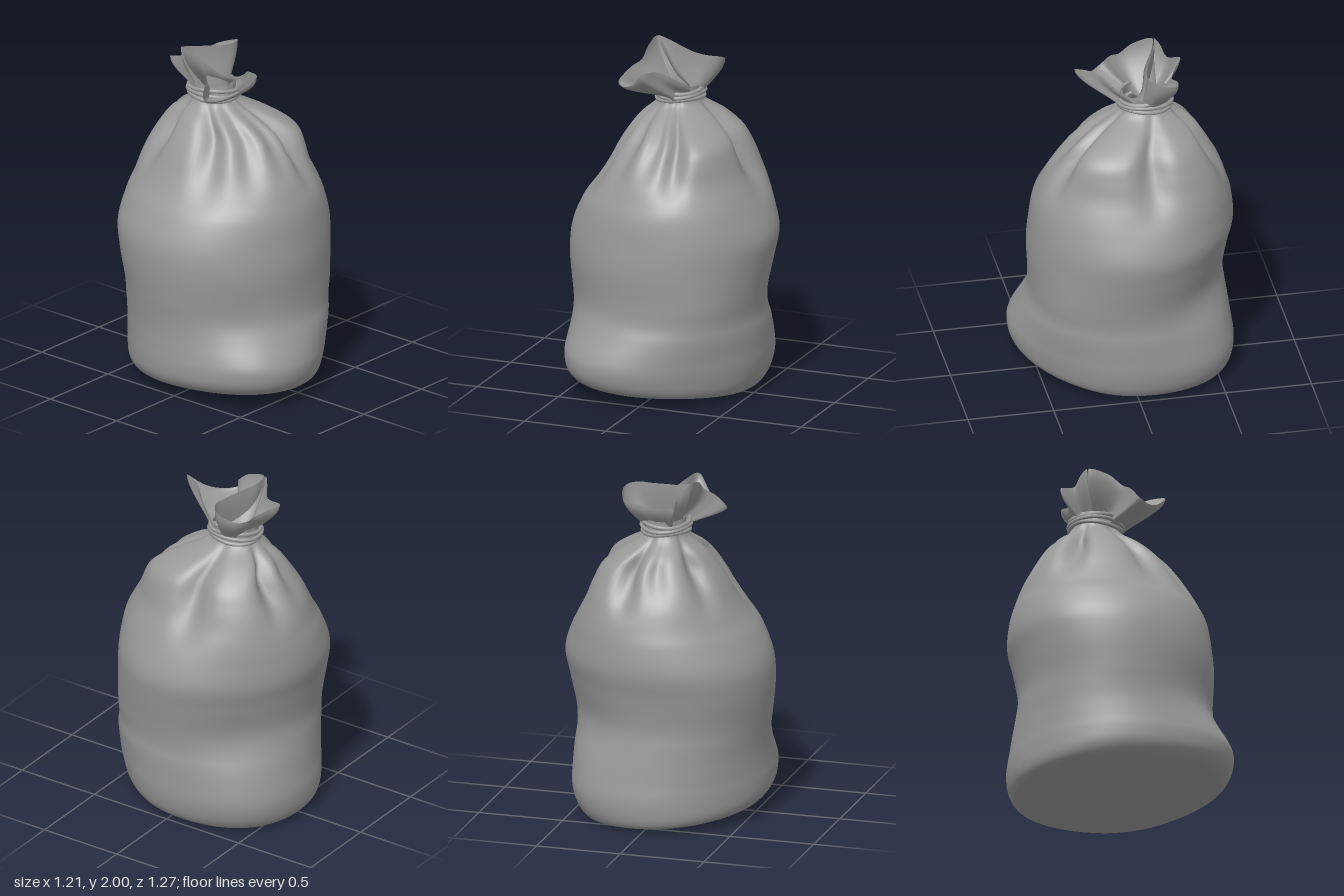
import * as THREE from 'three';

const cloth = new THREE.MeshStandardMaterial({ color: 0x999999, side: THREE.DoubleSide });
cloth.name = 'grey cloth';

// Sack outline: height, then left, right, back and front extents
const ROWS = [
  [0.00, -0.47, 0.45, -0.53, 0.50], [0.02, -0.53, 0.48, -0.59, 0.58], [0.08, -0.57, 0.51, -0.615, 0.625],
  [0.18, -0.58, 0.53, -0.62, 0.64], [0.28, -0.575, 0.535, -0.61, 0.62], [0.40, -0.57, 0.54, -0.60, 0.58],
  [0.50, -0.575, 0.535, -0.59, 0.545], [0.62, -0.59, 0.55, -0.58, 0.54], [0.80, -0.605, 0.585, -0.605, 0.55],
  [0.95, -0.595, 0.605, -0.635, 0.54], [1.10, -0.53, 0.56, -0.62, 0.52], [1.20, -0.46, 0.515, -0.59, 0.485],
  [1.30, -0.40, 0.46, -0.555, 0.44], [1.40, -0.35, 0.42, -0.51, 0.39], [1.50, -0.29, 0.37, -0.46, 0.32],
  [1.58, -0.23, 0.27, -0.40, 0.20], [1.65, -0.15, 0.15, -0.30, 0.05], [1.70, -0.125, 0.115, -0.27, 0.01],
  [1.77, -0.12, 0.12, -0.27, 0.00],
];
// Gathered creases running down from the tie: angle (degrees), depth, width, lowest height
const CREASES = [
  [158, 0.08, 11, 1.1], [125, 0.06, 12, 1.15], [95, 0.06, 11, 1.25], [72, 0.09, 9, 1.15],
  [-6, 0.09, 12, 1.05], [-75, 0.08, 10, 1.2], [-105, 0.03, 9, 1.3], [-145, 0.08, 9, 1.2],
];
// Bulges and dents: angle (degrees), height, height spread, angular spread, relative amount
const LUMPS = [
  [-45, 0.18, 0.24, 30, 0.105], [-45, 0.59, 0.16, 28, -0.05], [-45, 0.92, 0.24, 30, -0.035],
  [-45, 1.36, 0.18, 28, 0.06], [45, 1.50, 0.13, 26, 0.09], [-135, 1.40, 0.20, 28, 0.06],
  [135, 0.58, 0.13, 26, -0.02], [135, 0.88, 0.25, 30, -0.015], [12, 1.15, 0.14, 18, -0.02],
  [48, 0.56, 0.20, 28, 0.05], [45, 0.12, 0.16, 26, -0.04], [-135, 0.82, 0.30, 30, 0.045],
  [-135, 0.12, 0.18, 28, -0.03],
];
const NECK = new THREE.Vector3(0, 1.72, -0.13);

const bell = (d, width) => Math.exp(-((d / width) ** 2));
const turnBetween = (a, b) => ((a - b + 540) % 360 + 360) % 360 - 180;

// Smooth interpolation of the outline rows
function rowAt(t) {
  const f = t * (ROWS.length - 1), i = Math.min(Math.floor(f), ROWS.length - 2), u = f - i;
  const get = (k) => ROWS[THREE.MathUtils.clamp(k, 0, ROWS.length - 1)];
  return ROWS[i].map((_, c) => {
    const a = get(i - 1)[c], b = get(i)[c], d = get(i + 1)[c], e = get(i + 2)[c];
    return b + 0.5 * u * (d - a + u * (2 * a - 5 * b + 4 * d - e + u * (3 * (b - d) + e - a)));
  });
}

// Grid closed around its columns; point(row, column) gives each vertex
function loft(name, rows, cols, point) {
  const pos = [], idx = [];
  for (let r = 0; r <= rows; r++) for (let c = 0; c < cols; c++) pos.push(...point(r / rows, c / cols));
  for (let r = 0; r < rows; r++) for (let c = 0; c < cols; c++) {
    const a = r * cols + c, b = r * cols + (c + 1) % cols;
    idx.push(a, a + cols, b, b, a + cols, b + cols);
  }
  const geo = new THREE.BufferGeometry();
  geo.setAttribute('position', new THREE.Float32BufferAttribute(pos, 3));
  geo.setIndex(idx);
  geo.computeVertexNormals();
  const mesh = new THREE.Mesh(geo, cloth);
  mesh.name = name;
  return mesh;
}

function sackPoint(v, w) {
  const [y, xl, xr, zb, zf] = rowAt(Math.max(0, (v - 0.04) / 0.96));
  const fill = Math.min(1, v / 0.04); // closes the underside
  const a = w * Math.PI * 2, deg = w * 360;
  const rx = (xr - xl) / 2, rz = (zf - zb) / 2;
  const gather = THREE.MathUtils.smoothstep(y, 1.5, 1.7);
  let k = 1;
  for (const [at, depth, width, low] of CREASES) {
    const rise = THREE.MathUtils.smoothstep(y, low, 1.5) * (1 - 0.9 * gather);
    k -= depth * rise * bell(turnBetween(deg, at), width) / Math.max(rx, 0.2);
  }
  for (const [at, height, tall, wide, amount] of LUMPS) {
    k += amount * (1 - gather) * bell(y - height, tall) * bell(turnBetween(deg, at), wide);
  }
  let x = (xl + xr) / 2 + Math.cos(a) * rx * k * fill;
  const z = (zb + zf) / 2 + Math.sin(a) * rz * k * fill;
  // The front foot bulges towards the right, and the base is slightly tilted
  const low = 1 - THREE.MathUtils.smoothstep(y, 0.2, 0.6);
  x -= 0.1 * low * Math.max(0, z / 0.62) ** 2;
  const tilt = (0.04 + 0.045 * z - 0.05 * x) * (1 - THREE.MathUtils.smoothstep(y, 0, 0.5));
  return [x, Math.max(0, y + tilt), z];
}

// Loose cloth funnel flaring from the tie to a wavy rim
function funnel(name, rim, offset) {
  const curve = new THREE.CatmullRomCurve3(rim.map((p) => new THREE.Vector3(...p)), true, 'centripetal');
  const mid = new THREE.Vector3();
  rim.forEach((p) => mid.add(new THREE.Vector3(...p).divideScalar(rim.length)));
  return loft(name, 12, 72, (v, w) => {
    const p = curve.getPoint(w);
    const x0 = NECK.x + offset[0] + 0.5 * (p.x - mid.x), z0 = NECK.z + offset[1] + 0.5 * (p.z - mid.z);
    const out = Math.sin(v * Math.PI / 2) ** 1.3;
    return [x0 + (p.x - x0) * out, 1.70 + (p.y - 1.70) * v, z0 + (p.z - z0) * out];
  });
}

export function createModel() {
  const group = new THREE.Group();
  group.name = 'tiedSack';
  group.add(loft('sackBody', 90, 120, sackPoint));

  // Upright ruffle at the back and spout flopping to the front
  group.add(funnel('backRuffle', [
    [0.235, 1.92, -0.20], [0.20, 1.89, -0.28], [0.11, 1.87, -0.30], [0.03, 1.85, -0.28], [-0.05, 1.87, -0.32],
    [-0.12, 1.89, -0.36], [-0.11, 1.91, -0.28], [-0.15, 1.97, -0.25], [-0.18, 2.00, -0.22], [-0.11, 1.985, -0.21],
    [-0.02, 1.97, -0.17], [0.08, 1.955, -0.13], [0.17, 1.95, -0.115], [0.225, 1.94, -0.15],
  ], [0.01, -0.03]));
  group.add(funnel('frontSpout', [
    [0.09, 1.78, -0.04], [0.04, 1.79, -0.10], [-0.06, 1.88, -0.14], [-0.14, 1.96, -0.20], [-0.18, 2.00, -0.21],
    [-0.19, 1.97, -0.09], [-0.20, 1.91, -0.02], [-0.25, 1.87, 0.02], [-0.31, 1.79, 0.06], [-0.26, 1.78, 0.12],
    [-0.17, 1.82, 0.19], [-0.08, 1.91, 0.26], [-0.03, 1.90, 0.15], [0.05, 1.83, 0.05],
  ], [0.0, 0.03]));

  // Cord wound three times around the neck
  const cord = new THREE.Group();
  cord.name = 'cord';
  for (let i = 0; i < 3; i++) {
    const points = [];
    for (let j = 0; j < 24; j++) {
      const a = (j / 24) * Math.PI * 2, r = i === 1 ? 1.04 : 1;
      points.push(new THREE.Vector3(
        NECK.x - 0.005 + 0.134 * r * Math.cos(a),
        1.693 + i * 0.025 + 0.008 * Math.sin(2 * a + i * 1.3),
        NECK.z + 0.15 * r * Math.sin(a)));
    }
    const turn = new THREE.Mesh(
      new THREE.TubeGeometry(new THREE.CatmullRomCurve3(points, true), 64, 0.012, 8, true), cloth);
    turn.name = 'cordTurn' + (i + 1);
    cord.add(turn);
  }
  group.add(cord);
  return group;
}
